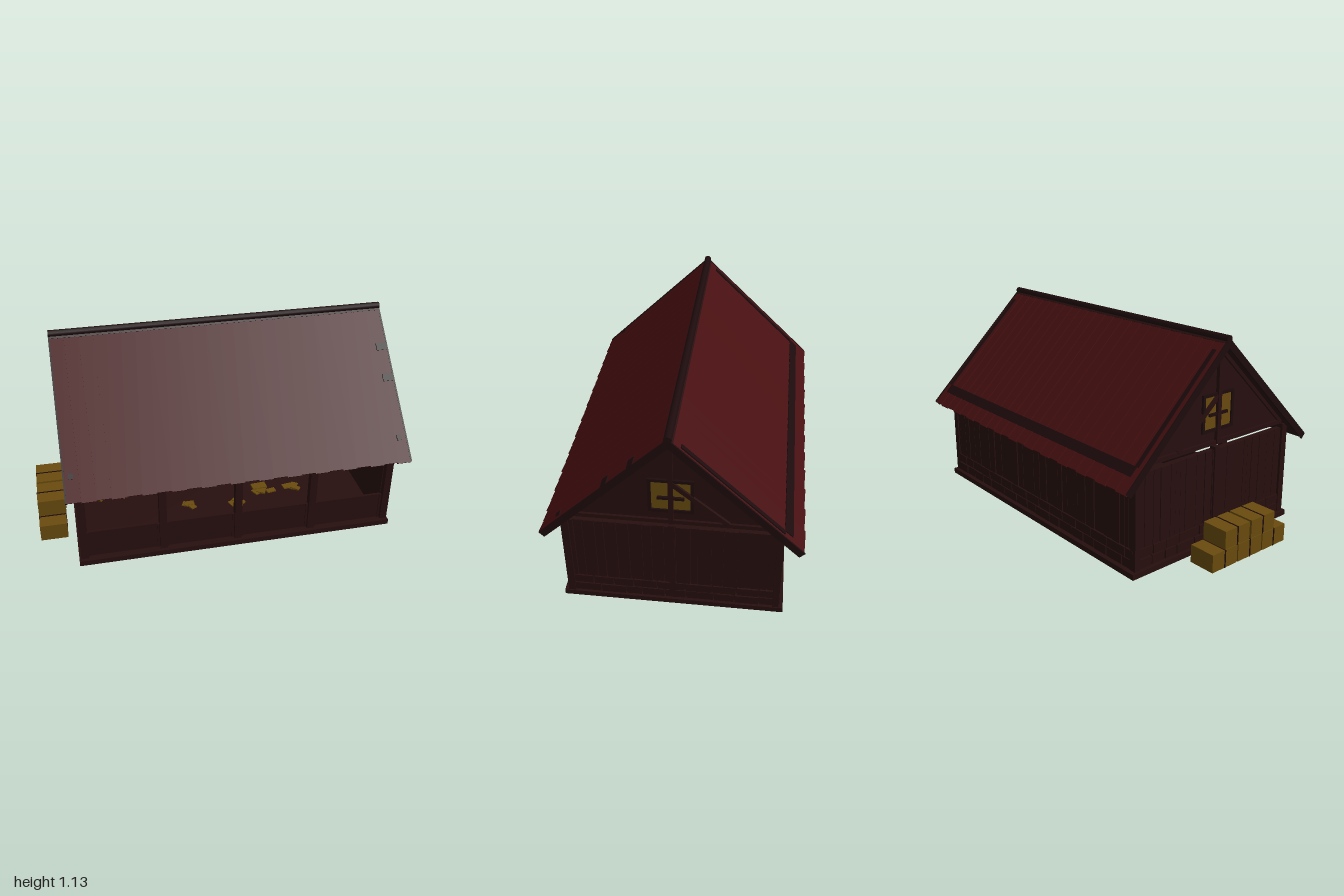
import * as THREE from 'three';

const mat = (name, color) => {
  const m = new THREE.MeshStandardMaterial({ color });
  m.name = name;
  return m;
};

export function createModel() {
  const wood = mat('dark wood', 0x270f0e);
  const trim = mat('darker trim', 0x1d0b0c);
  const red = mat('roof red', 0x470f11);
  const straw = mat('straw', 0x694b0e);
  const model = new THREE.Group();
  model.name = 'stable';

  let seed = 7;
  const rand = () => (seed = (seed * 16807) % 2147483647) / 2147483647;

  const group = (name, parent = model) => {
    const g = new THREE.Group();
    g.name = name;
    parent.add(g);
    return g;
  };
  // Box given by its minimum and maximum corners
  const box = (name, parent, m, x0, x1, y0, y1, z0, z1) => {
    const mesh = new THREE.Mesh(new THREE.BoxGeometry(x1 - x0, y1 - y0, z1 - z0), m);
    mesh.position.set((x0 + x1) / 2, (y0 + y1) / 2, (z0 + z1) / 2);
    mesh.name = name;
    parent.add(mesh);
    return mesh;
  };

  // Floor slab
  box('floor', model, wood, -0.8, 0.955, 0, 0.03, -0.57, 0.57);

  // Planked wall with two brick courses, built facing +z
  const CX = 0.08;
  const wall = (name, length, x, z, turn) => {
    const g = group(name);
    g.position.set(x, 0, z);
    g.rotation.y = turn;
    const h = length / 2;
    box('wallCore', g, wood, -h, h, 0.03, 0.53, -0.03, -0.006);
    for (let p = -h; p < h - 0.01;) {
      const end = Math.min(h, p + 0.03 + rand() * 0.045);
      box('plank', g, wood, p + 0.001, end - 0.002, 0.13, 0.53, -0.008, rand() * 0.006);
      p = end;
    }
    for (let row = 0; row < 2; row++) {
      for (let p = -h; p < h - 0.01;) {
        const end = Math.min(h, p + 0.08 + rand() * 0.07);
        box('brick', g, wood, p + 0.003, end - 0.003, 0.034 + row * 0.055, 0.083 + row * 0.055, -0.01, 0.008 + rand() * 0.004);
        p = end;
      }
    }
    return g;
  };
  wall('rightWall', 1.06, 0.935, -0.01, Math.PI / 2);
  wall('leftWall', 1.06, -0.775, -0.01, -Math.PI / 2);
  wall('backWall', 1.71, CX, -0.54, Math.PI);

  // Posts at the corners, along the open front and in the side walls
  const posts = group('posts');
  for (const x of [-0.77, -0.34, 0.075, 0.495, 0.93])
    box('frontPost', posts, wood, x - 0.02, x + 0.02, 0.03, 0.555, 0.512, 0.55);
  for (const x of [-0.77, 0.93]) {
    box('backPost', posts, wood, x - 0.02, x + 0.02, 0.03, 0.545, -0.548, -0.515);
    box('sidePost', posts, wood, x - 0.02, x + 0.02, 0.04, 0.548, -0.015, 0.015);
  }

  // Low panels between the front posts, with raised stiles
  const panels = group('frontPanels');
  [[-0.75, -0.36], [-0.32, 0.055], [0.095, 0.475], [0.515, 0.91]].forEach(([a, b]) => {
    box('frontPanel', panels, wood, a, b, 0.03, 0.19, 0.515, 0.53);
    for (const x of [a, b - 0.012]) box('panelStile', panels, wood, x, x + 0.012, 0.03, 0.19, 0.53, 0.535);
  });

  // Loose straw on the floor
  const hay = group('looseStraw');
  for (const [x, z, n] of [[-0.62, 0, 5], [-0.5, 0, 5], [-0.1, 0.19, 3], [0.13, 0.22, 3], [0.21, 0, 3], [0.29, -0.1, 4], [0.33, 0.14, 4], [0.51, 0.18, 3]]) {
    for (let i = 0; i < n; i++) {
      const w = 0.025 + rand() * 0.02;
      const px = x + (rand() - 0.5) * 0.09, pz = z + (rand() - 0.5) * 0.07;
      const clump = box('strawClump', hay, straw, px - w, px + w, 0.03, 0.036 + i * 0.002, pz - w * 0.6, pz + w * 0.6);
      clump.rotation.y = rand() * 3;
    }
  }

  // Gables, built facing +z, local x runs along the wall
  const gable = (name, x, turn, side) => {
    const g = group(name);
    g.position.x = x;
    g.rotation.y = turn;
    const shape = new THREE.Shape([new THREE.Vector2(-0.525, 0.562), new THREE.Vector2(0.525, 0.562), new THREE.Vector2(0, 1.075)]);
    const plate = new THREE.Mesh(new THREE.ExtrudeGeometry(shape, { depth: 0.03, bevelEnabled: false }), wood);
    plate.position.z = -0.03;
    plate.name = 'gableBoard';
    g.add(plate);
    box('tieBeam', g, wood, -0.5, 0.5, 0.562, 0.585, 0, 0.012);
    box('windowPane', g, straw, -0.095, 0.095, 0.65, 0.822, 0, 0.004);
    for (const s of [-1, 1]) {
      box('windowJamb', g, trim, s * 0.102 - 0.008, s * 0.102 + 0.008, 0.635, 0.836, 0, 0.012);
      box('windowRail', g, trim, -0.11, 0.11, s > 0 ? 0.82 : 0.635, s > 0 ? 0.836 : 0.651, 0, 0.012);
      const rafter = box('gableRafter', g, wood, -0.345, 0.345, -0.012, 0.012, 0, 0.014);
      rafter.position.set(s * 0.252, 0.815, 0.007);
      rafter.rotation.z = -s * 0.773;
    }
    box('kingPost', g, wood, -0.012, 0.012, 0.565, 1.08, 0, 0.02);
    box('windowBar', g, trim, -0.065, 0.065, 0.718, 0.732, 0.004, 0.016);
    const brace = box('brace', g, wood, -0.18, 0.18, -0.012, 0.012, 0, 0.014);
    brace.position.set(side * 0.14, 0.7, 0.009);
    brace.rotation.z = -side * 0.71;
  };
  gable('rightGable', 0.935, Math.PI / 2, 1);
  gable('leftGable', -0.775, -Math.PI / 2, -1);

  // Roof slopes: local z runs down the slope, local y is its normal
  const angle = Math.atan2(0.635, 0.65), len = 0.905, half = 0.917;
  const slope = (name, turn) => {
    const pivot = group(name);
    pivot.position.set(CX, 1.118, 0);
    pivot.rotation.y = turn;
    const g = group('slopeBoards', pivot);
    g.rotation.x = angle;
    box('roofDeck', g, wood, -half, half, -0.034, -0.012, 0, len - 0.01);
    const n = 24, w = (2 * half) / n;
    for (let i = 0; i < n; i++) {
      const x = -half + i * w;
      const strip = box('roofStrip', g, red, x, x + w, -0.014, -0.003, 0, len + (i % 2) * 0.005);
      strip.rotation.z = 0.06;
    }
    for (const s of [-1, 1])
      box('bargeBoard', g, trim, s * half - 0.004, s * half + 0.004, -0.037, 0, 0, len);
    return g;
  };
  const front = slope('frontRoof', 0);
  const back = slope('backRoof', Math.PI);

  // Timber ends and battens showing on the roof
  for (const [x, z] of [[0.885, 0.25], [0.885, 0.43]])
    box('roofPatch', front, trim, x - 0.03, x + 0.028, -0.004, 0.002, z - 0.02, z + 0.02);
  for (const x of [-0.88, 0.875])
    box('roofPeg', front, trim, x - 0.012, x + 0.012, -0.004, 0.003, 0.755, 0.785);
  box('roofBatten', back, trim, -0.875, 0.875, -0.004, 0.002, 0.765, 0.82);
  for (const x of [-0.885, 0.875])
    box('edgeBatten', back, trim, x - 0.012, x + 0.012, -0.004, 0.002, 0.08, 0.765);

  // Ridge pole
  const ridge = new THREE.Mesh(new THREE.CylinderGeometry(0.019, 0.019, 1.84, 12), trim);
  ridge.rotation.z = Math.PI / 2;
  ridge.position.set(CX, 1.112, 0);
  ridge.name = 'ridgePole';
  model.add(ridge);

  // Stacked straw bales beside the left... open yard wall
  const bales = group('strawBales');
  for (const [y, z] of [[0, -0.139], [0, 0.045], [0, 0.229], [0.1, -0.053], [0.1, 0.138]]) {
    const bale = group('bale', bales);
    bale.position.set(-0.922, y, z);
    box('baleBody', bale, straw, -0.075, 0.075, 0.001, 0.098, -0.088, 0.088);
    box('baleStrap', bale, trim, -0.077, 0.077, 0, 0.0995, -0.004, 0.004);
  }
  return model;
}
